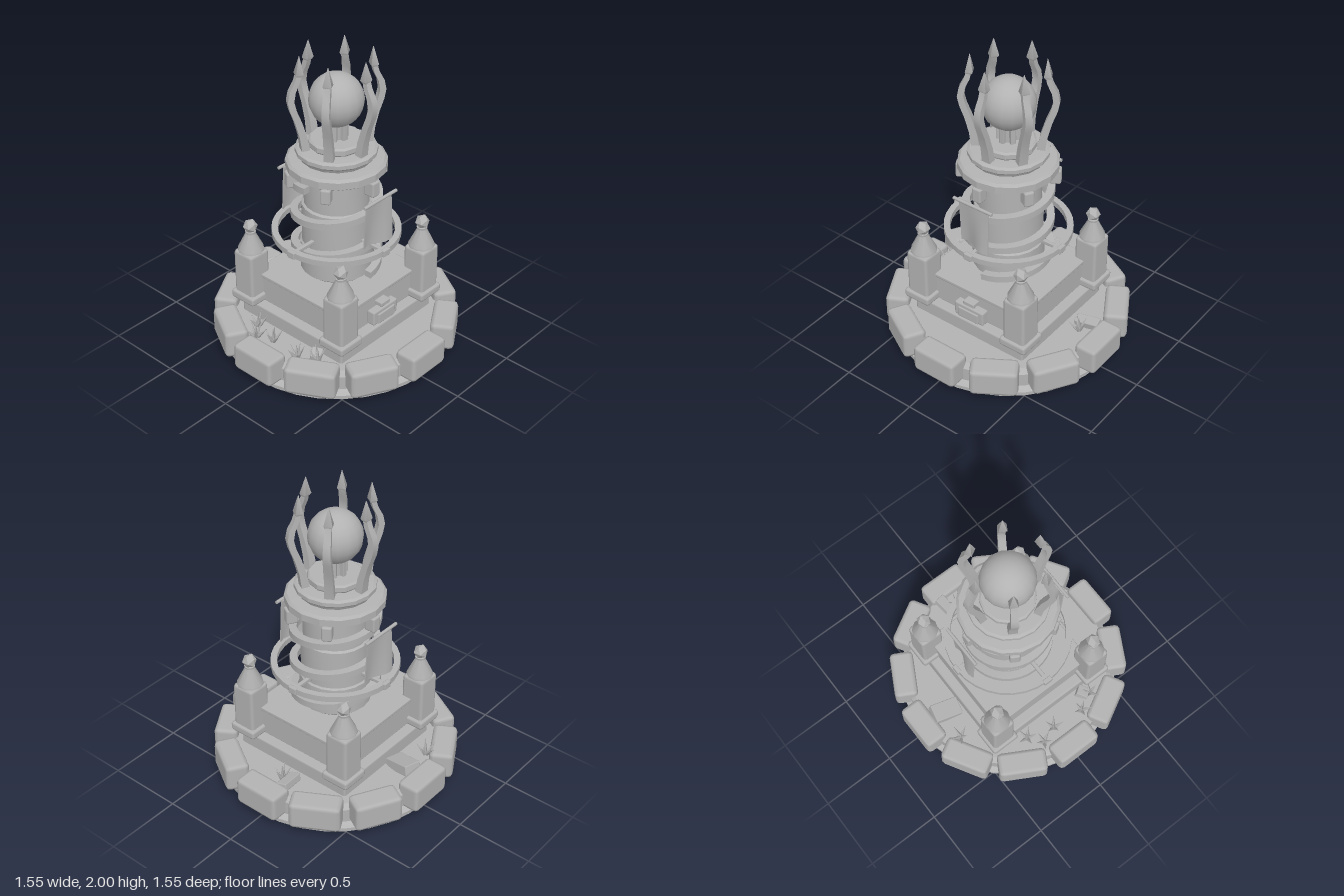
import * as THREE from 'three';
import { toCreasedNormals } from 'three/addons/utils/BufferGeometryUtils.js';
import { RoundedBoxGeometry } from 'three/addons/geometries/RoundedBoxGeometry.js';

const stone = new THREE.MeshStandardMaterial({ color: 0xb2b2b2 });
stone.name = 'grey stone';

export function createModel() {
  const root = new THREE.Group();
  root.name = 'magicTower';

  const add = (name, geo, x = 0, y = 0, z = 0, parent = root) => {
    const m = new THREE.Mesh(geo, stone);
    m.name = name;
    m.position.set(x, y, z);
    parent.add(m);
    return m;
  };
  const group = (name, x = 0, y = 0, z = 0, turn = 0) => {
    const g = new THREE.Group();
    g.name = name;
    g.position.set(x, y, z);
    g.rotation.y = turn;
    root.add(g);
    return g;
  };
  const crease = (geo, angle = 0.6) => toCreasedNormals(geo, angle);
  const lathe = (pts, sides, angle) =>
    crease(new THREE.LatheGeometry(pts.map(p => new THREE.Vector2(p[0], p[1])), sides), angle);
  const box = (w, h, d, r) => new RoundedBoxGeometry(w, h, d, 1, r);

  // skin a list of four-cornered cross-sections, closed at both ends
  const loft = sections => {
    const pos = sections.flat(2), idx = [], last = (sections.length - 1) * 4;
    for (let i = 0; i < sections.length - 1; i++)
      for (let j = 0; j < 4; j++) {
        const a = i * 4 + j, b = i * 4 + (j + 1) % 4;
        idx.push(a, b, a + 4, b, b + 4, a + 4);
      }
    idx.push(0, 2, 1, 0, 3, 2, last, last + 1, last + 2, last, last + 2, last + 3);
    const g = new THREE.BufferGeometry();
    g.setAttribute('position', new THREE.Float32BufferAttribute(pos, 3));
    g.setIndex(idx);
    return crease(g, 0.7);
  };

  let seed = 7;
  const rand = () => (seed = (seed * 16807) % 2147483647) / 2147483647;

  // round base and ground
  add('base', lathe([[0, 0], [0.7, 0], [0.725, 0.02], [0.725, 0.045], [0.7, 0.065],
    [0.69, 0.07], [0.69, 0.16], [0.66, 0.19], [0, 0.19]], 32));

  // ring of kerb stones
  for (let i = 0; i < 12; i++) {
    const a = i * Math.PI / 6;
    const w = 0.315 + (i % 3 ? (rand() - 0.5) * 0.03 : 0);
    const s = add('kerbStone', box(w, 0.185, 0.155, 0.028),
      Math.sin(a) * 0.7, 0.155, Math.cos(a) * 0.7);
    s.rotation.set(0, a + (i % 3 ? (rand() - 0.5) * 0.1 : 0), 0);
  }

  // square plinth
  add('plinthStep', box(0.85, 0.14, 0.85, 0.015), 0, 0.22, 0);
  add('plinthBlock', box(0.72, 0.18, 0.72, 0.008), 0, 0.375, 0);
  add('plinthSlab', box(0.745, 0.024, 0.745, 0.006), 0, 0.478, 0);

  // small chest on the front of the plinth
  add('chestBody', box(0.225, 0.1, 0.06, 0.012), 0, 0.345, 0.385);
  add('chestPanel', box(0.155, 0.07, 0.02, 0.006), 0, 0.335, 0.415);
  add('chestTop', box(0.085, 0.03, 0.06, 0.006), 0, 0.418, 0.385);

  // corner pillars
  for (const sx of [-1, 1]) for (const sz of [-1, 1]) {
    const p = group('cornerPillar', sx * 0.378, 0, sz * 0.378);
    add('pillarFoot', box(0.195, 0.06, 0.195, 0.018), 0, 0.32, 0, p);
    add('pillarShaft', box(0.16, 0.32, 0.16, 0.022), 0, 0.49, 0, p);
    add('pillarCone', lathe([[0, 0.64], [0.085, 0.65], [0.083, 0.665], [0.032, 0.77],
      [0.035, 0.785], [0, 0.79]], 10, 0.8), 0, 0, 0, p);
    add('pillarBall', new THREE.IcosahedronGeometry(0.047, 0), 0, 0.82, 0, p);
  }

  // floating column
  add('column', lathe([[0, 0.52], [0.21, 0.52], [0.227, 0.535], [0.227, 0.72], [0.217, 0.73],
    [0.217, 0.99], [0.203, 1.0], [0.203, 1.205], [0.19, 1.22], [0, 1.22]], 20));

  // spiral band
  const coil = [];
  for (let i = 0; i <= 88; i++) {
    const a = i / 32 * Math.PI * 2, y = 0.56 + 0.225 * i / 32;
    coil.push([[1, -1], [1, 1], [-1, 1], [-1, -1]].map(([u, r]) => {
      const R = 0.262 + r * 0.024;
      return [Math.sin(a) * R, y + u * 0.022, Math.cos(a) * R];
    }));
  }
  add('spiralBand', loft(coil));

  // outer hoop with spokes
  add('hoop', lathe([[0.365, 0.77], [0.405, 0.77], [0.405, 0.808], [0.365, 0.808], [0.365, 0.77]], 32));
  for (let i = 0; i < 4; i++) {
    const s = group('hoopSpoke', 0, 0.79, 0, i * Math.PI / 2);
    add('spoke', box(0.025, 0.025, 0.19, 0.005), 0, 0, 0.295, s);
    add('spokeCap', box(0.06, 0.045, 0.03, 0.006), 0, 0, 0.4, s);
  }

  // hanging banners, front and back
  for (const turn of [0, Math.PI]) {
    const b = group('banner', 0, 0, 0, turn);
    const cloth = new THREE.BoxGeometry(0.225, 0.31, 0.008, 6, 6, 1);
    const p = cloth.attributes.position;
    for (let i = 0; i < p.count; i++) {
      const drop = 0.5 - p.getY(i) / 0.31;
      p.setZ(i, p.getZ(i) + drop * 0.027 * Math.sin(p.getX(i) * 22));
    }
    cloth.computeVertexNormals();
    add('bannerCloth', crease(cloth), 0, 0.985, 0.34, b);
    const rod = add('bannerRod', new THREE.CylinderGeometry(0.011, 0.011, 0.29, 8), 0, 1.143, 0.352, b);
    rod.rotation.z = Math.PI / 2;
  }

  // crown collar and stacked rings
  add('collar', lathe([[0, 1.235], [0.29, 1.235], [0.312, 1.25], [0.312, 1.295], [0.295, 1.31],
    [0.235, 1.315], [0, 1.315]], 16, 0.35));
  add('upperRing', lathe([[0, 1.315], [0.225, 1.315], [0.235, 1.335], [0.252, 1.35], [0.252, 1.375],
    [0.235, 1.385], [0.16, 1.39], [0, 1.39]], 16, 0.35));
  add('topRing', lathe([[0, 1.39], [0.165, 1.39], [0.172, 1.4], [0.172, 1.43], [0.16, 1.44], [0, 1.44]], 12, 0.35));

  // brackets and curved prongs around the crown
  const path = [[0.195, 1.37, 0.03], [0.212, 1.48, 0.027], [0.24, 1.58, 0.025], [0.27, 1.66, 0.024],
    [0.283, 1.72, 0.023], [0.272, 1.78, 0.022], [0.243, 1.84, 0.02], [0.23, 1.89, 0.018]];
  const corners = [[-1, 1], [1, 1], [1, -1], [-1, -1]];
  const ring = ([r, y, h]) => corners.map(([x, z]) => [x * h, y, r + z * h * 0.85]);
  const prong = loft(path.map(ring));
  const spike = loft([[0.23, 1.875, 0.02], [0.229, 1.89, 0.027], [0.225, 2, 0.0015]].map(ring));
  for (let i = 0; i < 6; i++) {
    const g = group('crownArm', 0, 0, 0, i * Math.PI / 3);
    add('bracket', box(0.065, 0.1, 0.075, 0.012), 0, 1.198, 0.285, g);
    add('prong', prong, 0, 0, 0, g);
    add('prongTip', spike, 0, 0, 0, g);
    add('orbPost', box(0.032, 0.16, 0.032, 0.004), 0, 1.5, 0.058, g);
  }

  // orb
  add('orb', new THREE.SphereGeometry(0.168, 16, 12), 0, 1.69, 0);
  add('orbSeat', new THREE.CylinderGeometry(0.05, 0.06, 0.15, 6), 0, 1.49, 0);

  // grass tufts
  const blade = new THREE.ConeGeometry(0.016, 0.11, 4);
  blade.translate(0, 0.055, 0);
  const tufts = [[-0.22, -0.56], [-0.49, -0.22], [-0.58, -0.15], [-0.54, -0.04],
    [-0.56, 0.18], [-0.5, 0.3], [0.54, -0.02]];
  for (const [x, z] of tufts) {
    const t = group('grassTuft', x, 0.185, z, rand() * 6);
    for (let i = 0; i < 6; i++) {
      const b = add('grassBlade', blade, 0, 0, 0, t);
      b.rotation.set(i ? 0.45 + rand() * 0.3 : 0, i * 1.257, 0, 'YXZ');
    }
  }

  // loose rubble
  const rubble = [[-0.02, 0.22, -0.535, 0.12, 0.07, 0.19, -0.2, 0.25], [0.56, 0.22, -0.09, 0.16, 0.05, 0.07, 0.15, 0.2],
    [-0.47, 0.2, 0.26, 0.08, 0.06, 0.07, 0.6, 0.2]];
  for (const [x, y, z, w, h, d, turn, tilt] of rubble)
    add('rubble', box(w, h, d, 0.006), x, y, z).rotation.set(tilt, turn, tilt * 0.5);

  return root;
}
